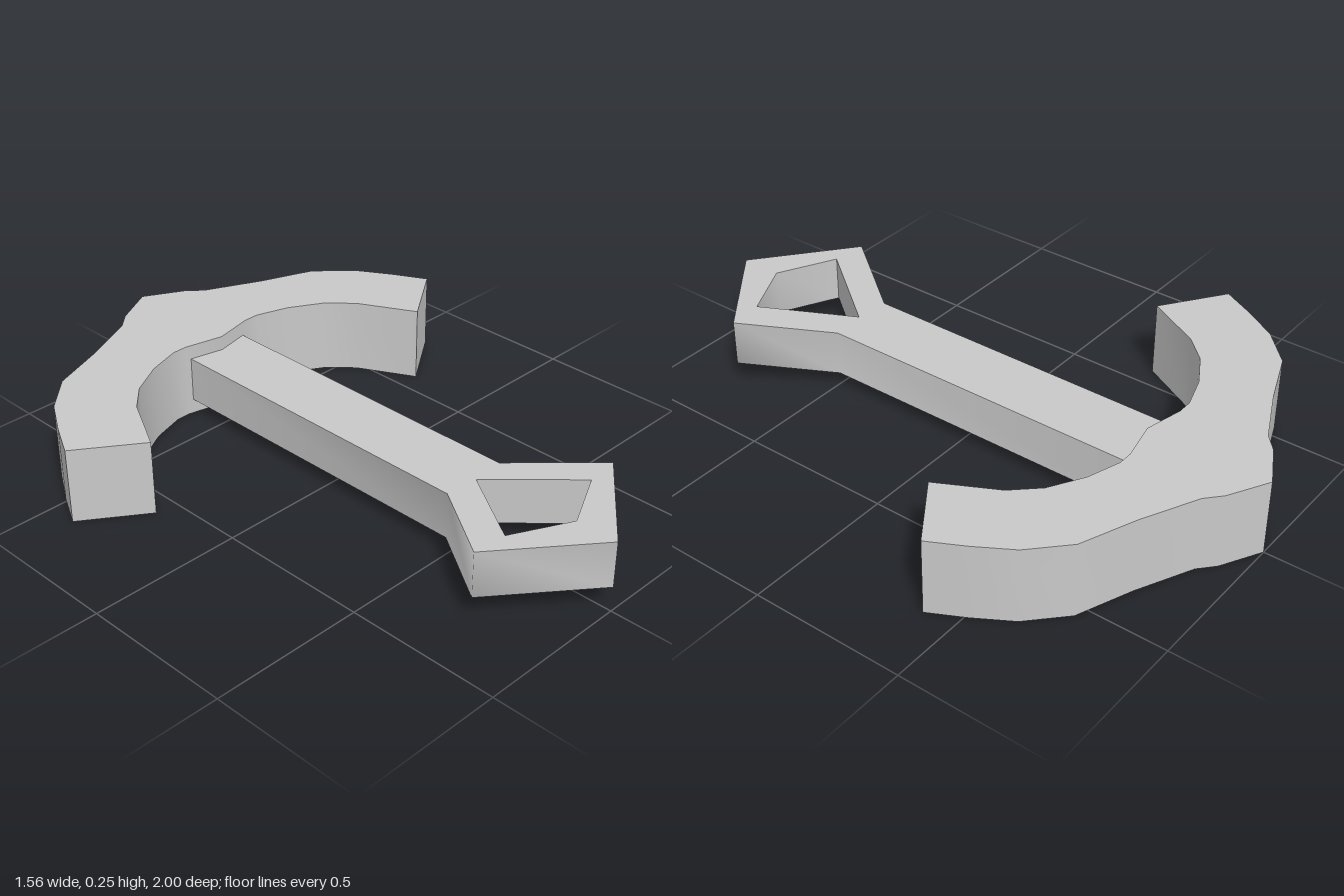
import * as THREE from 'three';
import { toCreasedNormals } from 'three/addons/utils/BufferGeometryUtils.js';

const THICK = 0.152; // shaft and ring thickness
const BASE = 0.05;   // underside of the shaft

// Mirrors half an outline of [x, z] points (both ends on x = 0) into a closed loop.
function mirrored(half) {
  const other = half.slice(1, -1).reverse().map(([x, z]) => [-x, z]);
  return [...half, ...other].map(([x, z]) => new THREE.Vector2(x, -z));
}

// Extrudes a plan outline upward from y = 0, smoothing corners below the crease angle.
function slab(shape, height, crease) {
  const geometry = new THREE.ExtrudeGeometry(shape, { depth: height, bevelEnabled: false });
  return toCreasedNormals(geometry.rotateX(-Math.PI / 2), crease);
}

export function createModel() {
  const group = new THREE.Group();
  group.name = 'anchor';
  const grey = new THREE.MeshStandardMaterial({ color: 0xc9c9c9 });
  grey.name = 'grey metal';

  function add(name, geometry) {
    const mesh = new THREE.Mesh(geometry, grey);
    mesh.name = name;
    group.add(mesh);
  }

  // Curved arms with the pointed crown at the back
  const arms = new THREE.Shape(mirrored([
    [0, -1], [0.13, -0.93], [0.18, -0.885], [0.36, -0.8], [0.54, -0.73],
    [0.65, -0.625], [0.72, -0.51], [0.778, -0.4],
    [0.574, -0.258], [0.475, -0.445], [0.4, -0.525], [0.29, -0.588],
    [0.18, -0.623], [0.13, -0.623], [0, -0.594],
  ]));
  add('arms', slab(arms, 0.25, 0.6));

  // Straight shaft, set into the arms and splitting into a kite-shaped ring
  const shaft = new THREE.Shape(mirrored([
    [0, -0.65], [0.113, -0.65], [0.113, 0.49], [0.306, 0.755], [0, 1],
  ]));
  const eye = mirrored([[0, 0.5], [0.19, 0.765], [0, 0.86]]);
  // The outline runs the other way round from the hole
  shaft.holes.push(new THREE.Path(THREE.ShapeUtils.isClockWise(shaft.getPoints()) ? eye.reverse() : eye));
  const shaftAndRing = slab(shaft, THICK, 1.54);

  // The ring rises from the shaft to its widest point
  const pos = shaftAndRing.attributes.position;
  for (let i = 0; i < pos.count; i++) {
    const rise = THREE.MathUtils.clamp((pos.getZ(i) - 0.5) / 0.255, 0, 1);
    pos.setY(i, pos.getY(i) + BASE + 0.032 * rise);
  }
  add('shaftAndRing', shaftAndRing);

  return group;
}
